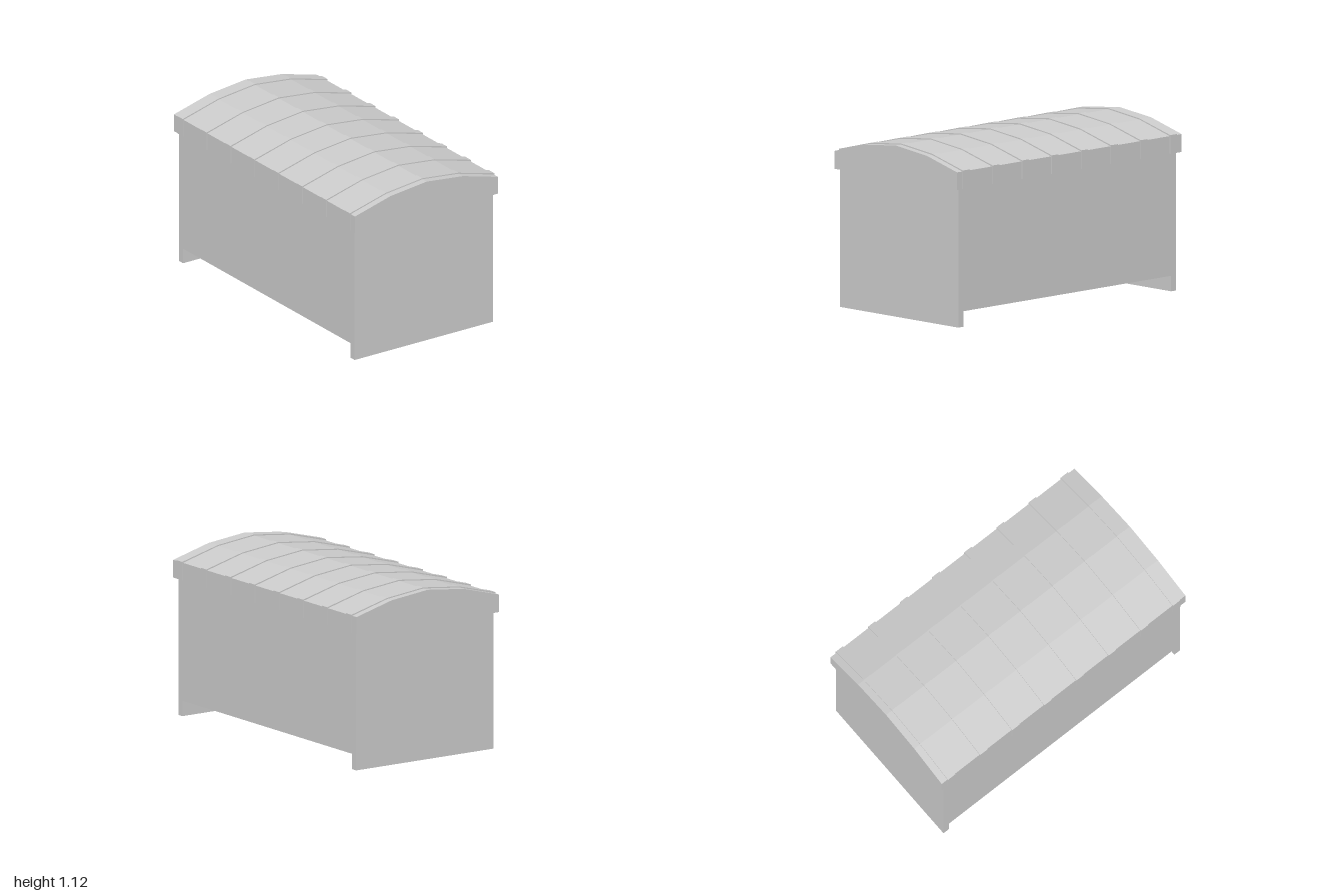
import * as THREE from 'three';

const material = new THREE.MeshStandardMaterial({ color: 0xcccccc, flatShading: true });

// Extrude a closed outline by depth, centred on its extrusion axis
function extrude(name, points, depth) {
  const shape = new THREE.Shape(points.map(([x, y]) => new THREE.Vector2(x, y)));
  const geometry = new THREE.ExtrudeGeometry(shape, { depth, bevelEnabled: false });
  geometry.translate(0, 0, -depth / 2);
  const mesh = new THREE.Mesh(geometry, material);
  mesh.name = name;
  return mesh;
}

// Faceted arch from one eave over the ridge to the other
function arch(halfDepth, bottom, lift) {
  const half = [[halfDepth, bottom], [halfDepth, 1.005 + lift], [0.28, 1.078 + lift]];
  const mirrored = half.map(([z, y]) => [-z, y]).reverse();
  return [...half, [0, 1.109 + lift], ...mirrored];
}

export function createModel() {
  const model = new THREE.Group();
  model.name = 'chest';

  // Body with a raised floor between two end runners
  const w = 0.97, inner = 0.925, floor = 0.1;
  model.add(extrude('body', [
    [-w, 0], [-inner, 0], [-inner, floor], [inner, floor],
    [inner, 0], [w, 0], [w, 0.895], [-w, 0.895],
  ], 1.07));

  // Overhanging lid
  const lid = extrude('lid', arch(0.554, 0.89, 0), 2);
  lid.rotation.y = Math.PI / 2;
  model.add(lid);

  // Thin straps bent over the lid
  const straps = new THREE.Group();
  straps.name = 'straps';
  const outline = [...arch(0.56, 0.892, 0.007), ...arch(0.55, 0.892, -0.004).reverse()];
  const count = 8, reach = 0.923;
  for (let i = 0; i < count; i++) {
    const strap = extrude('strap', outline, 0.06);
    strap.rotation.y = Math.PI / 2;
    strap.position.x = -reach + (2 * reach * i) / (count - 1);
    straps.add(strap);
  }
  model.add(straps);

  return model;
}
